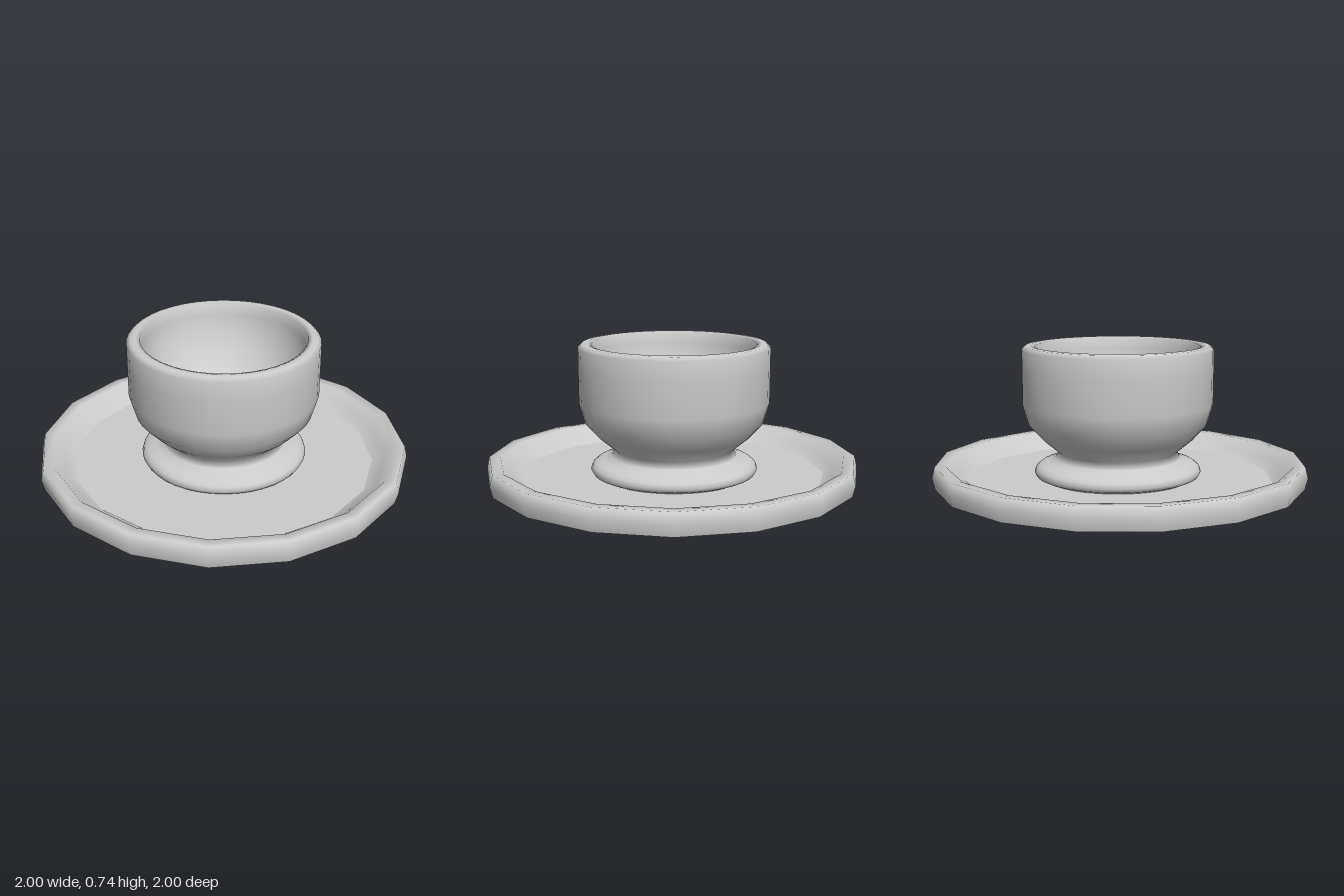
import * as THREE from 'three';

const solid = new THREE.MeshStandardMaterial({ color: 0xcccccc });
const thin = new THREE.MeshStandardMaterial({ color: 0xcccccc, side: THREE.DoubleSide });

// Revolves a profile of [radius, height] pairs about the y axis.
function lathe(name, profile, segments, material) {
  const points = profile.map(([r, y]) => new THREE.Vector2(r, y));
  const mesh = new THREE.Mesh(new THREE.LatheGeometry(points, segments), material);
  mesh.name = name;
  return mesh;
}

export function createModel() {
  const model = new THREE.Group();
  model.name = 'cupAndSaucer';

  // Saucer: a thin sixteen-sided shell, with a rolled rim that is hollow below
  const saucer = new THREE.Group();
  saucer.name = 'saucer';
  const sides = 16;
  saucer.add(
    lathe('saucerRim', [
      [0.985, 0], [1, 0.06], [0.985, 0.12], [0.925, 0.118], [0.875, 0.06], [0.815, 0.03],
    ], sides, thin),
    lathe('saucerFloor', [[0.815, 0.03], [0, 0.03]], sides, thin),
  );

  // Cup: smooth and round, set very slightly off the saucer's centre
  const cup = new THREE.Group();
  cup.name = 'cup';
  cup.position.set(0.008, 0, -0.01);

  // Flared foot with a soft bead, rising into the bowl and over the lip
  const profile = [
    [0.4, 0.03], [0.435, 0.045], [0.446, 0.065], [0.438, 0.088], [0.415, 0.106],
    [0.375, 0.12], [0.335, 0.135], [0.318, 0.172],
    [0.405, 0.245], [0.475, 0.32], [0.507, 0.43],
    [0.508, 0.62], [0.508, 0.72], [0.488, 0.739], [0.46, 0.742],
  ];

  // Rounded hollow, running smoothly on from the lip
  const steps = 12;
  for (let i = 0; i <= steps; i++) {
    const a = (i / steps) * Math.PI / 2;
    profile.push([0.437 * Math.cos(a), 0.735 - 0.46 * Math.sin(a)]);
  }
  cup.add(lathe('cupBody', profile, 40, solid));

  model.add(saucer, cup);
  return model;
}
